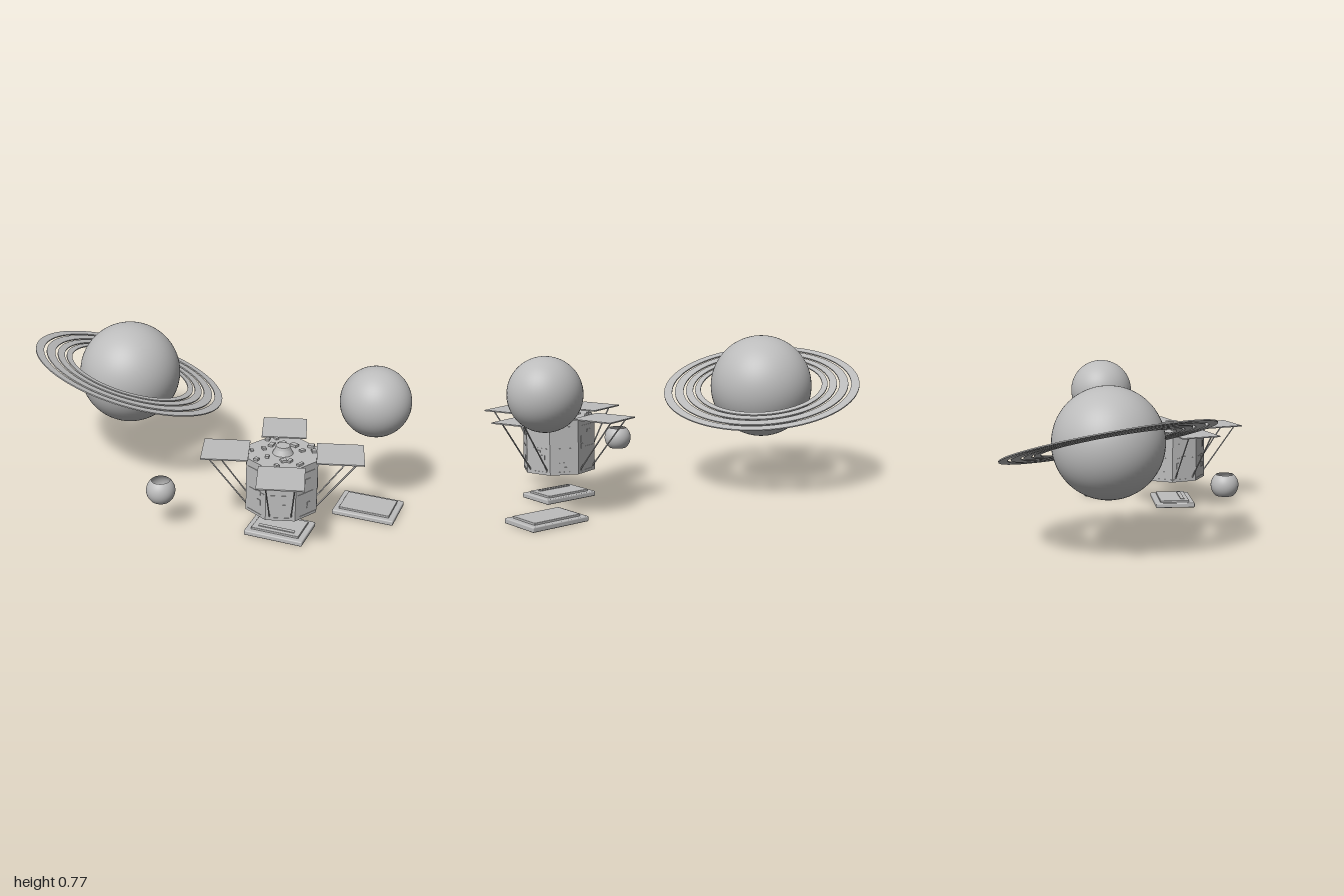
import * as THREE from 'three';
import { RoundedBoxGeometry } from 'three/addons/geometries/RoundedBoxGeometry.js';

const grey = new THREE.MeshStandardMaterial({ color: 0xbcbcbc });
grey.name = 'plain grey';
const greyThin = new THREE.MeshStandardMaterial({ color: 0xbcbcbc, side: THREE.DoubleSide });
greyThin.name = 'plain grey two sided';
const greyFlat = new THREE.MeshStandardMaterial({ color: 0xbcbcbc, flatShading: true });
greyFlat.name = 'plain grey faceted';

function add(parent, name, geometry, x = 0, y = 0, z = 0, material = grey) {
  const mesh = new THREE.Mesh(geometry, material);
  mesh.name = name;
  mesh.position.set(x, y, z);
  parent.add(mesh);
  return mesh;
}

function group(parent, name, x = 0, y = 0, z = 0) {
  const g = new THREE.Group();
  g.name = name;
  g.position.set(x, y, z);
  parent.add(g);
  return g;
}

// Small seeded generator for the scattered fittings
function seeded(seed) {
  return () => {
    seed = (seed * 16807) % 2147483647;
    return seed / 2147483647;
  };
}

function ringGeometry(inner, outer) {
  const shape = new THREE.Shape().absarc(0, 0, outer, 0, Math.PI * 2);
  shape.holes.push(new THREE.Path().absarc(0, 0, inner, 0, Math.PI * 2, true));
  const g = new THREE.ExtrudeGeometry(shape, { depth: 0.006, bevelEnabled: false, curveSegments: 64 });
  return g.translate(0, 0, -0.003).rotateX(-Math.PI / 2);
}

// Thin rod between two points
function rod(parent, name, a, b, radius) {
  const mesh = add(parent, name, new THREE.CylinderGeometry(radius, radius, a.distanceTo(b), 8));
  mesh.position.copy(a).lerp(b, 0.5);
  mesh.quaternion.setFromUnitVectors(new THREE.Vector3(0, 1, 0), b.clone().sub(a).normalize());
}

function buildRingedPlanet(root) {
  const planet = group(root, 'ringedPlanet', -0.511, 0.51, -0.16);
  add(planet, 'planetBall', new THREE.SphereGeometry(0.262, 64, 40));
  const rings = group(planet, 'planetRings');
  rings.rotation.set(-0.165, 0, -0.262);
  for (const [inner, outer] of [[0.465, 0.507], [0.405, 0.45], [0.355, 0.392], [0.315, 0.344]]) {
    add(rings, 'planetRing', ringGeometry(inner, outer));
  }
}

function buildProbe(root) {
  const probe = group(root, 'spaceProbe', 0.489, 0, 0.257);
  probe.rotation.y = THREE.MathUtils.degToRad(17.5);
  const bottom = 0.147, top = 0.417, radius = 0.18;
  const apothem = radius * Math.cos(Math.PI / 8);
  const random = seeded(11);

  // Eight-sided body, with corners either side of each panel
  const bodyGeometry = new THREE.CylinderGeometry(radius, radius, top - bottom, 8);
  bodyGeometry.rotateY(Math.PI / 8);
  add(probe, 'probeBody', bodyGeometry, 0, (top + bottom) / 2, 0, greyFlat);

  for (let i = 0; i < 8; i++) {
    const side = group(probe, 'bodySide');
    side.rotation.y = i * Math.PI / 4;
    // Foil seams and patches
    for (const y of [0.16, 0.275, 0.38]) {
      add(side, 'foilSeam', new THREE.BoxGeometry(0.004, 0.004, 0.1), apothem, y, (random() - 0.5) * 0.03);
    }
    for (let k = 0; k < 3; k++) {
      add(side, 'foilPatch', new THREE.BoxGeometry(0.006, 0.01 + random() * 0.025, 0.012 + random() * 0.02),
        apothem, 0.17 + random() * 0.22, (random() - 0.5) * 0.1);
    }
    // Small fittings around the top deck
    for (let k = 0; k < 2; k++) {
      const fitting = add(side, 'deckFitting',
        new THREE.BoxGeometry(0.014 + random() * 0.014, 0.01 + random() * 0.006, 0.016 + random() * 0.02),
        0.09 + k * 0.055, top + 0.004, (random() - 0.5) * 0.08);
      fitting.rotation.y = random() * 0.8;
    }
  }

  // Antenna cap
  add(probe, 'antennaBase', new THREE.CylinderGeometry(0.036, 0.049, 0.025, 32), 0, top + 0.012, 0);
  add(probe, 'antennaCap', new THREE.CylinderGeometry(0.033, 0.037, 0.014, 32), 0, top + 0.031, 0);

  // Four panels, each on two struts
  for (let i = 0; i < 4; i++) {
    const wing = group(probe, 'panelWing');
    wing.rotation.y = i * Math.PI / 2;
    add(wing, 'panel', new THREE.BoxGeometry(0.22, 0.006, 0.215), 0.268, 0.419, 0);
    for (const s of [-1, 1]) {
      rod(wing, 'panelStrut', new THREE.Vector3(0.355, 0.417, s * 0.065),
        new THREE.Vector3(0.162, 0.165, s * 0.05), 0.0035);
    }
  }
}

function buildPlinth(root, x, z, width, depth) {
  const plinth = group(root, 'plinth', x, 0, z);
  add(plinth, 'plinthBase', new RoundedBoxGeometry(width, 0.025, depth, 3, 0.006), 0, 0.0125, 0);
  add(plinth, 'plinthTop', new RoundedBoxGeometry(width - 0.055, 0.018, depth - 0.055, 2, 0.003), 0, 0.026, 0);
  return plinth;
}

export function createModel() {
  const root = new THREE.Group();
  root.name = 'spaceModel';

  buildRingedPlanet(root);
  buildProbe(root);

  // Plain moon
  add(root, 'moon', new THREE.SphereGeometry(0.171, 48, 32), 0.825, 0.588, -0.107);

  // Hollow bead, open at both ends
  const cut = Math.acos(0.054 / 0.07);
  add(root, 'bead', new THREE.SphereGeometry(0.07, 40, 24, 0, Math.PI * 2, cut, Math.PI - 2 * cut),
    -0.05, 0.207, 0.46, greyThin);

  // Plinths, the first with a raised bar
  const first = buildPlinth(root, 0.487, 0.263, 0.293, 0.212);
  add(first, 'plinthBar', new THREE.BoxGeometry(0.18, 0.006, 0.02), 0, 0.036, 0.045);
  buildPlinth(root, 0.824, -0.101, 0.308, 0.226);

  return root;
}
